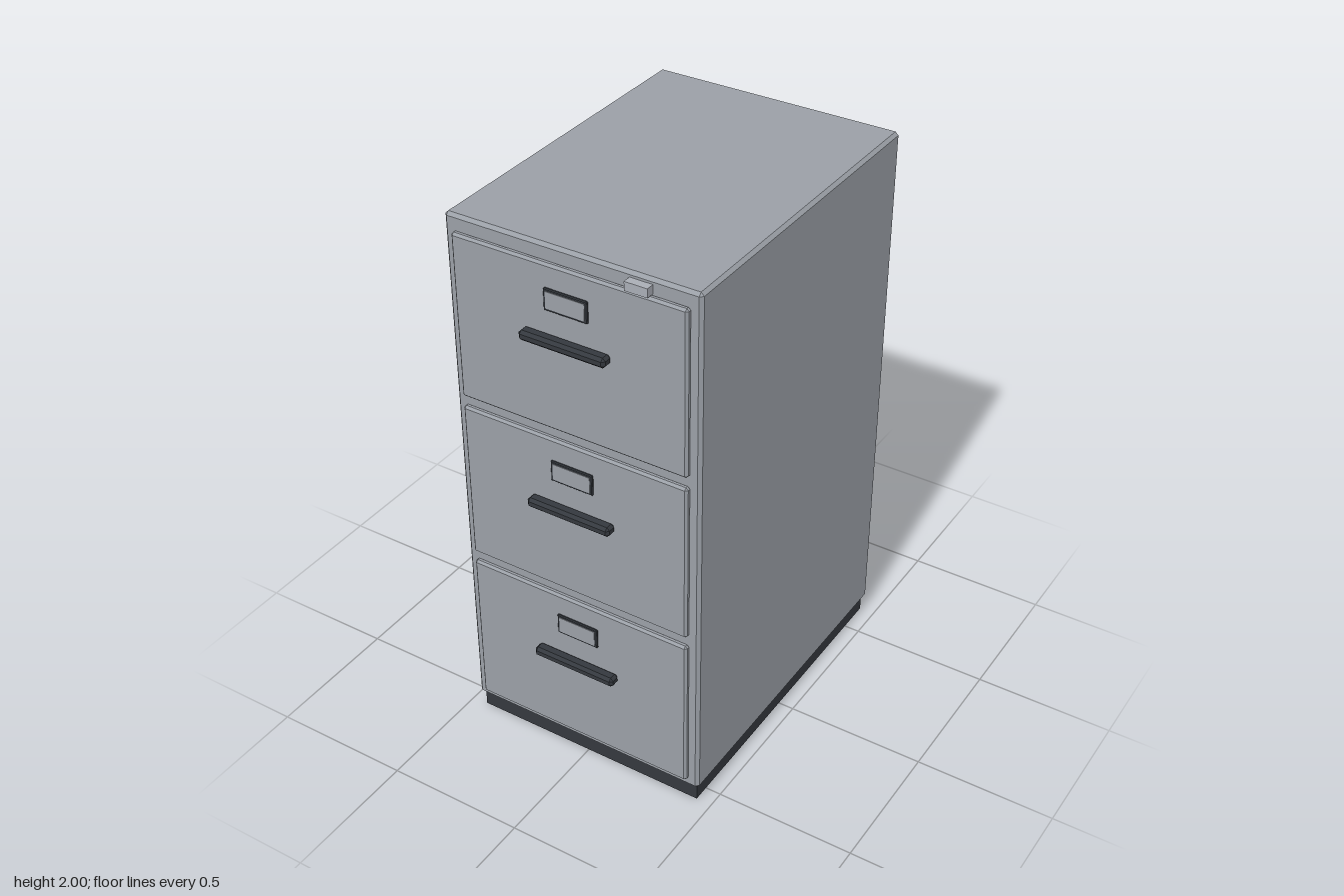
import * as THREE from 'three';
import { ConvexGeometry } from 'three/addons/geometries/ConvexGeometry.js';

const paint = (name, color) => {
  const m = new THREE.MeshStandardMaterial({ color });
  m.name = name;
  return m;
};

// Box with chamfered edges, given by its lowest and highest corners
function chamferBox(name, material, min, max, c) {
  const size = min.map((v, i) => max[i] - v);
  const mid = min.map((v, i) => (max[i] + v) / 2);
  let geometry;
  if (c > 0) {
    const points = [];
    for (const sx of [-1, 1]) for (const sy of [-1, 1]) for (const sz of [-1, 1]) {
      // each corner becomes three points, one on each meeting face
      for (let face = 0; face < 3; face++) {
        const half = size.map((v, i) => v / 2 - (i === face ? 0 : c));
        points.push(new THREE.Vector3(sx * half[0], sy * half[1], sz * half[2]));
      }
    }
    geometry = new ConvexGeometry(points);
  } else {
    geometry = new THREE.BoxGeometry(...size);
  }
  const mesh = new THREE.Mesh(geometry, material);
  mesh.name = name;
  mesh.position.set(...mid);
  return mesh;
}

export function createModel() {
  const steel = paint('grey steel', 0x9a9fa6);
  const dark = paint('dark plastic', 0x34383e);
  const bright = paint('lock metal', 0xa9adb5);

  const cabinet = new THREE.Group();
  cabinet.name = 'filingCabinet';

  // Plinth and case
  cabinet.add(chamferBox('plinth', dark, [-0.443, 0, -0.622], [0.443, 0.07, 0.56], 0));
  cabinet.add(chamferBox('case', steel, [-0.457, 0.064, -0.638], [0.457, 2, 0.577], 0.011));

  // Three equal drawers, each with a label holder and a pull
  for (let i = 0; i < 3; i++) {
    const drawer = new THREE.Group();
    drawer.name = 'drawer' + (i + 1);
    drawer.position.y = 0.1 + i * 0.628;
    drawer.add(
      chamferBox('drawerFront', steel, [-0.421, 0, 0.572], [0.421, 0.591, 0.597], 0.008),
      chamferBox('labelFrame', dark, [-0.079, 0.434, 0.592], [0.079, 0.511, 0.604], 0.003),
      chamferBox('labelCard', steel, [-0.07, 0.443, 0.6], [0.07, 0.502, 0.606], 0),
      chamferBox('handle', dark, [-0.157, 0.319, 0.594], [0.157, 0.355, 0.638], 0.01)
    );
    cabinet.add(drawer);
  }

  // Lock at the upper left of the front
  cabinet.add(chamferBox('lock', bright, [0.212, 1.95, 0.572], [0.292, 1.981, 0.606], 0));

  return cabinet;
}
